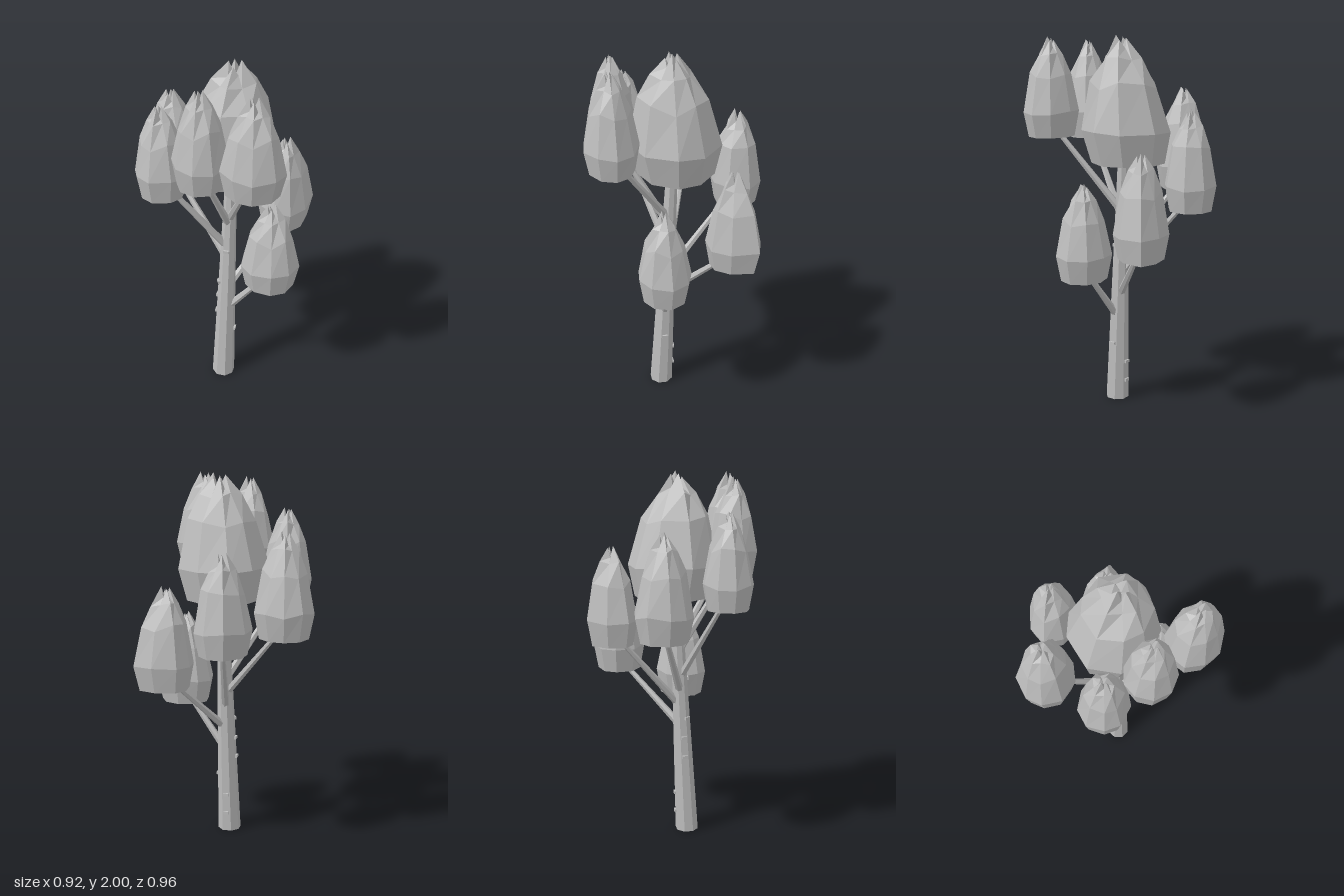
import * as THREE from 'three';

const grey = new THREE.MeshStandardMaterial({ color: 0xbdbdbd });
grey.name = 'plain grey';
grey.flatShading = true;

// Trunk centre line: leans slightly to +x and -z as it rises
const TRUNK_TOP = 1.4;
const trunkAt = (y) => new THREE.Vector3(0.04 + 0.016 * y, y, 0.075 - 0.045 * y);
const trunkRadius = (y) => 0.064 - 0.025 * y;

function seeded(seed) {
  let s = seed * 7919 + 13;
  return () => (s = (s * 16807) % 2147483647) / 2147483647;
}

// Closed solid through rings of equal point count, capped at both ends
function loft(rings, bottom, top) {
  const pos = [];
  const tri = (...pts) => pts.forEach((p) => pos.push(...p));
  const n = rings[0].length;
  for (let i = 0; i < n; i++) {
    const j = (i + 1) % n;
    tri(bottom, rings[0][i], rings[0][j]);
    for (let r = 0; r < rings.length - 1; r++) {
      const lo = rings[r];
      const hi = rings[r + 1];
      tri(lo[j], lo[i], hi[i]);
      tri(lo[j], hi[i], hi[j]);
    }
    const last = rings[rings.length - 1];
    tri(top, last[j], last[i]);
  }
  const geo = new THREE.BufferGeometry();
  geo.setAttribute('position', new THREE.Float32BufferAttribute(pos, 3));
  geo.computeVertexNormals();
  return geo;
}

// Faceted bud: flat base, widest low down, pleated and spiky at the tip
function budGeometry({ x, z, rx, rz, y0, y1, sides = 9, turn = 0, corner = 1, lean = 0 }, index) {
  const rand = seeded(index + 1);
  const h = y1 - y0;
  // Slightly irregular outline; the first point may stick out as a corner
  const outline = Array.from({ length: sides }, (_, i) => {
    const a = THREE.MathUtils.degToRad(turn) + ((i + (rand() - 0.5) * 0.25) / sides) * Math.PI * 2;
    const k = (i === 0 ? corner : 1) * (0.99 + rand() * 0.06);
    return [Math.cos(a) * rx * k, Math.sin(a) * rz * k];
  });
  const ring = (peakLevel, foldLevel, peakScale, foldScale, wobble) => outline.map(([px, pz], i) => {
    const fold = i % 2 === 1;
    const level = (fold ? foldLevel : peakLevel) + (rand() - 0.5) * wobble;
    const k = fold ? foldScale : peakScale;
    return [x + lean * level + px * k, y0 + h * level, z + lean * level + pz * k];
  });
  const rings = [
    ring(0, 0, 0.83, 0.83, 0),
    ring(0.25, 0.25, 1, 1, 0.05),
    ring(0.62, 0.62, 0.74, 0.74, 0.08),
    ring(0.83, 0.83, 0.46, 0.36, 0.05),
    ring(0.97, 0.88, 0.13, 0.17, 0.04),
  ];
  rings[4][0][1] = y1;
  return loft(rings, [x, y0, z], [x + lean, y0 + h * 0.87, z + lean]);
}

// Tapered rod between two points
function rod(a, b, ra, rb, sides) {
  const dir = b.clone().sub(a);
  const mesh = new THREE.Mesh(new THREE.CylinderGeometry(rb, ra, dir.length(), sides), grey);
  mesh.position.copy(a).addScaledVector(dir, 0.5);
  mesh.quaternion.setFromUnitVectors(new THREE.Vector3(0, 1, 0), dir.normalize());
  return mesh;
}

// fork: height where the branch leaves the trunk
const buds = [
  { name: 'crownBud', x: 0.05, z: -0.01, rx: 0.24, rz: 0.235, y0: 1.34, y1: 2, turn: 10, lean: 0.03 },
  { name: 'backBud', x: -0.035, z: -0.345, rx: 0.138, rz: 0.135, y0: 1.11, y1: 1.63, fork: 0.72, sides: 8, turn: 158, corner: 1.15 },
  { name: 'backLeftBud', x: 0.285, z: -0.265, rx: 0.138, rz: 0.138, y0: 0.9, y1: 1.44, fork: 0.6, sides: 8, turn: -33, corner: 1.28 },
  { name: 'rightBud', x: -0.305, z: -0.12, rx: 0.153, rz: 0.148, y0: 1.17, y1: 1.72, fork: 0.8, turn: 20 },
  { name: 'frontRightBud', x: -0.245, z: 0.225, rx: 0.135, rz: 0.13, y0: 1.31, y1: 1.81, fork: 0.88, turn: 15 },
  { name: 'frontBud', x: -0.015, z: 0.31, rx: 0.138, rz: 0.132, y0: 1.45, y1: 1.97, fork: 1.03, turn: 5 },
  { name: 'frontLeftBud', x: 0.255, z: 0.345, rx: 0.155, rz: 0.135, y0: 1.475, y1: 1.99, fork: 1.07, turn: -5, corner: 1.05 },
  { name: 'leftBud', x: 0.3, z: 0.095, rx: 0.153, rz: 0.14, y0: 0.74, y1: 1.25, fork: 0.46, turn: -8 },
];

export function createModel() {
  const model = new THREE.Group();
  model.name = 'budTree';

  // Leaning eight-sided trunk
  const trunkRing = (y) => Array.from({ length: 8 }, (_, i) => {
    const a = ((i + 0.5) / 8) * Math.PI * 2;
    const c = trunkAt(y);
    const r = trunkRadius(y);
    return [c.x + Math.cos(a) * r, y, c.z + Math.sin(a) * r];
  });
  const trunk = new THREE.Mesh(
    loft([0, TRUNK_TOP].map(trunkRing), trunkAt(0).toArray(), trunkAt(TRUNK_TOP).toArray()), grey);
  trunk.name = 'trunk';
  model.add(trunk);

  // Buds and the thin branches that carry them
  buds.forEach((spec, i) => {
    const mesh = new THREE.Mesh(budGeometry(spec, i), grey);
    mesh.name = spec.name;
    model.add(mesh);
    if (!spec.fork) return;
    const start = trunkAt(spec.fork);
    const end = new THREE.Vector3(spec.x, 0, spec.z).lerp(start, 0.1).setY(spec.y0 + 0.02);
    const branch = rod(start, end, 0.022, 0.013, 6);
    branch.name = spec.name.replace('Bud', 'Branch');
    model.add(branch);
  });

  // Small bark knots: height and angle around the trunk
  const knots = [[0.88, 90], [0.66, 150], [0.55, 180], [0.44, 180], [0.33, 0], [0.22, 270], [0.11, 270]];
  for (const [y, deg] of knots) {
    const a = THREE.MathUtils.degToRad(deg);
    const r = trunkRadius(y) * 0.95;
    const knot = new THREE.Mesh(new THREE.BoxGeometry(0.018, 0.016, 0.03), grey);
    knot.name = 'barkKnot';
    knot.position.copy(trunkAt(y)).add(new THREE.Vector3(Math.cos(a) * r, 0, Math.sin(a) * r));
    knot.rotation.y = -a;
    model.add(knot);
  }
  return model;
}
